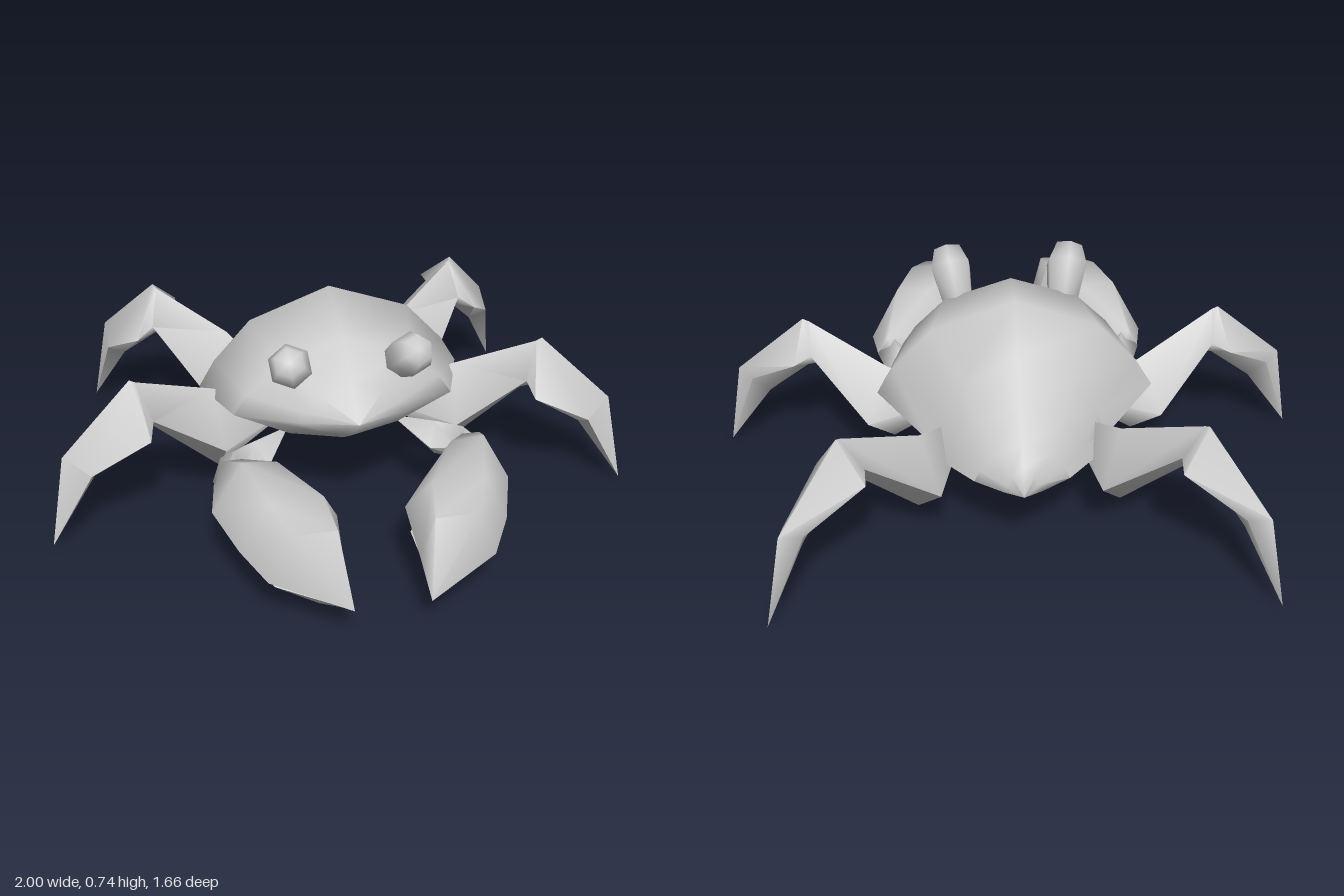
import * as THREE from 'three';
import { toCreasedNormals } from 'three/addons/utils/BufferGeometryUtils.js';

const CREASE = 1.5;

// Skin through cross-sections; a one-point section closes to a tip
function loft(rings) {
  const pos = [], index = [], starts = [];
  for (const r of rings) {
    starts.push(pos.length / 3);
    for (const p of r) pos.push(...p);
  }
  const n = Math.max(...rings.map((r) => r.length));
  const id = (i, j) => starts[i] + (j % n) % rings[i].length;
  for (let i = 0; i < rings.length - 1; i++) {
    for (let j = 0; j < n; j++) {
      const a = id(i, j), b = id(i, j + 1), c = id(i + 1, j + 1), d = id(i + 1, j);
      if (a !== b) index.push(a, b, c);
      if (c !== d) index.push(a, c, d);
    }
  }
  const g = new THREE.BufferGeometry();
  g.setAttribute('position', new THREE.Float32BufferAttribute(pos, 3));
  g.setIndex(index);
  return toCreasedNormals(g, CREASE);
}

// Mirror a non-indexed geometry across x = 0, keeping faces outward
function mirrored(geo) {
  const src = geo.getAttribute('position');
  const pos = [];
  for (let t = 0; t < src.count; t += 3) {
    for (const k of [t, t + 2, t + 1]) pos.push(-src.getX(k), src.getY(k), src.getZ(k));
  }
  const g = new THREE.BufferGeometry();
  g.setAttribute('position', new THREE.Float32BufferAttribute(pos, 3));
  return toCreasedNormals(g, CREASE);
}

export function createModel() {
  const crab = new THREE.Group();
  crab.name = 'crab';
  const shellGrey = new THREE.MeshStandardMaterial({ color: 0xcccccc });
  shellGrey.name = 'shellGrey';

  const add = (name, geo) => {
    const m = new THREE.Mesh(geo, shellGrey);
    m.name = name;
    crab.add(m);
  };
  const addPair = (name, geo) => {
    add(name + 'Left', geo);
    add(name + 'Right', mirrored(geo));
  };

  // Body: z, half width, rim height, top, bottom, from rear to front
  const section = ([z, w, rim, top, bot]) => {
    const h = top - rim;
    const half = [[0.5 * w, bot + 0.3 * (rim - bot)], [w, rim], [0.88 * w, rim + 0.28 * h], [0.6 * w, rim + 0.7 * h]];
    return [
      [0, bot, z],
      ...half.map(([x, y]) => [x, y, z]),
      [0, top, z],
      ...half.reverse().map(([x, y]) => [-x, y, z]),
    ];
  };
  add('body', loft([
    [[0, 0.345, -0.66]],
    section([-0.625, 0.06, 0.34, 0.43, 0.33]),
    section([-0.56, 0.15, 0.335, 0.475, 0.315]),
    section([-0.45, 0.235, 0.32, 0.55, 0.29]),
    section([-0.32, 0.29, 0.315, 0.635, 0.265]),
    section([-0.16, 0.455, 0.4, 0.74, 0.24]),
    section([0.09, 0.37, 0.425, 0.675, 0.29]),
    section([0.22, 0.175, 0.45, 0.58, 0.38]),
    [[0, 0.49, 0.335]],
  ]));

  // Eye stalks
  const base = new THREE.Vector3(0.172, 0.552, 0.075), end = new THREE.Vector3(0.205, 0.682, 0.235);
  const axis = end.clone().sub(base);
  const len = axis.length();
  const eye = new THREE.LatheGeometry(
    [[0, 0], [0.05, 0], [0.074, len * 0.8], [0.05, len * 1.12], [0, len * 1.14]].map((p) => new THREE.Vector2(...p)), 6);
  eye.applyQuaternion(new THREE.Quaternion().setFromUnitVectors(new THREE.Vector3(0, 1, 0), axis.normalize()));
  eye.translate(base.x, base.y, base.z);
  addPair('eye', toCreasedNormals(eye, CREASE));

  // Legs: hip, thigh, knee (two sections), shin, foot; corners run top, front, bottom, back
  const leg = loft([
    [[0.14, 0.33, -0.08]],
    [[0.42, 0.44, -0.07], [0.4, 0.28, 0.08], [0.41, 0.14, -0.05], [0.49, 0.29, -0.19]],
    [[0.68, 0.56, 0.04], [0.635, 0.44, 0.1], [0.63, 0.39, 0.05], [0.675, 0.47, -0.04]],
    [[0.7, 0.57, 0.04], [0.65, 0.4, 0.16], [0.66, 0.4, 0.06], [0.73, 0.46, -0.08]],
    [[0.94, 0.34, 0.1], [0.85, 0.29, 0.155], [0.84, 0.25, 0.09], [0.89, 0.33, 0.045]],
    [[1, 0.015, 0.13]],
  ]);
  const legs = [['middleLeg', 0.7, 0.04, 0], ['rearLeg', 0.56, -0.63, 1.007]];
  for (const [name, x, z, turn] of legs) {
    // swing about the knee
    addPair(name, leg.clone().translate(-0.7, 0, -0.04).rotateY(turn).translate(x, 0, z));
  }

  // Arms: corners run top, inner, bottom, outer
  addPair('arm', loft([
    [[0.18, 0.32, 0.03]],
    [[0.31, 0.34, 0.13], [0.275, 0.28, 0.2], [0.31, 0.21, 0.13], [0.34, 0.28, 0.06]],
    [[0.39, 0.34, 0.18], [0.36, 0.28, 0.215], [0.39, 0.21, 0.18], [0.425, 0.28, 0.115]],
    [[0.41, 0.35, 0.26], [0.34, 0.28, 0.27], [0.4, 0.21, 0.26], [0.468, 0.28, 0.25]],
    [[0.4, 0.28, 0.34]],
  ]));

  // Claws: corners run outer, upper outer, upper inner, inner, underside
  addPair('upperClaw', loft([
    [[0.4, 0.28, 0.2]],
    [[0.465, 0.27, 0.25], [0.43, 0.35, 0.24], [0.37, 0.35, 0.24], [0.31, 0.27, 0.26], [0.4, 0.24, 0.25]],
    [[0.49, 0.26, 0.39], [0.39, 0.45, 0.41], [0.28, 0.44, 0.41], [0.2, 0.29, 0.39], [0.34, 0.24, 0.4]],
    [[0.43, 0.23, 0.57], [0.34, 0.425, 0.6], [0.17, 0.425, 0.6], [0.11, 0.28, 0.51], [0.27, 0.22, 0.56]],
    [[0.36, 0.19, 0.69], [0.29, 0.38, 0.72], [0.15, 0.38, 0.72], [0.12, 0.2, 0.68], [0.25, 0.19, 0.7]],
    [[0.12, 0.15, 0.825]],
  ]));
  // Lower pincer: corners run outer, upper side, inner, underside
  addPair('lowerClaw', loft([
    [[0.4, 0.27, 0.22]],
    [[0.45, 0.24, 0.32], [0.37, 0.28, 0.32], [0.29, 0.23, 0.32], [0.35, 0.1, 0.32]],
    [[0.42, 0.215, 0.52], [0.27, 0.24, 0.5], [0.13, 0.18, 0.51], [0.235, 0.005, 0.53]],
    [[0.34, 0.165, 0.68], [0.24, 0.17, 0.68], [0.14, 0.15, 0.66], [0.2, 0.07, 0.67]],
    [[0.14, 0.13, 0.78]],
  ]));

  return crab;
}
